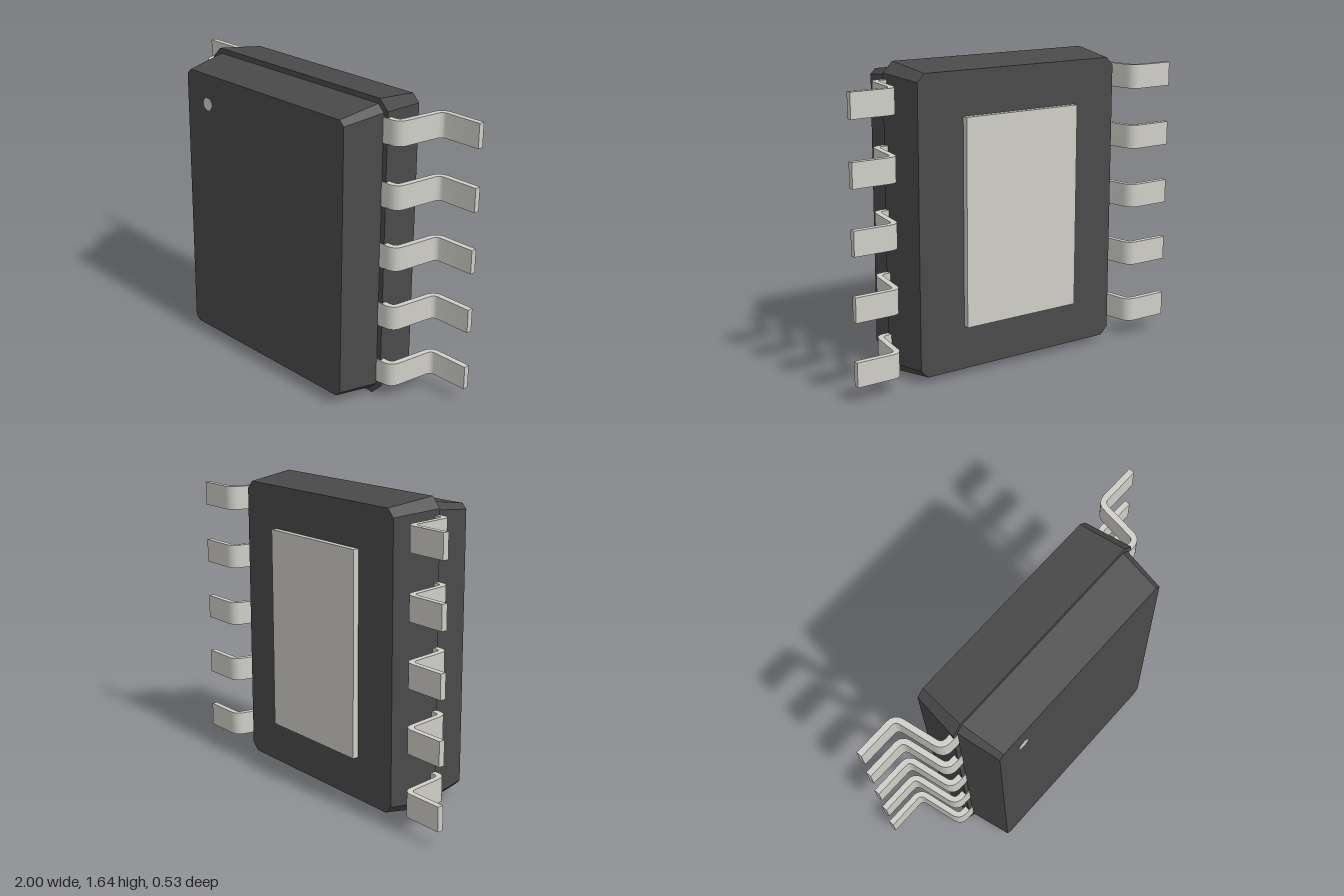
import * as THREE from 'three';
import { toCreasedNormals } from 'three/addons/utils/BufferGeometryUtils.js';

const MID_Y = 0.818;
const bodyMat = new THREE.MeshStandardMaterial({ color: 0x4a4a4a });
const metalMat = new THREE.MeshStandardMaterial({ color: 0xcfcec8 });

// Rectangle with cut corners, counter-clockwise seen from +z
function octagon({ w, h, cut, z }) {
  const a = w - cut, b = h - cut;
  return [[w, -b], [w, b], [a, h], [-a, h], [-w, b], [-w, -b], [-a, -h], [a, -h]]
    .map(([x, y]) => new THREE.Vector3(x, y, z));
}

// Tapered block between two octagonal sections, with flat faces
function taperedBlock(back, front) {
  const b = octagon(back), f = octagon(front), tris = [];
  for (let i = 0; i < 8; i++) {
    const j = (i + 1) % 8;
    tris.push(b[i], b[j], f[j], b[i], f[j], f[i]);
    if (i > 0 && i < 7) tris.push(f[0], f[i], f[j], b[0], b[j], b[i]);
  }
  const geo = new THREE.BufferGeometry().setFromPoints(tris);
  geo.computeVertexNormals();
  return geo;
}

// Gull-wing strip: centreline in (x, z) with rounded bends, thickened and extruded along y
function leadGeometry(side, width, thickness) {
  const corners = [[0.58, 0.017], [0.716, 0.017], [0.757, -0.251], [1, -0.251]]
    .map(([x, z]) => new THREE.Vector2(x, -z));
  const line = [corners[0]];
  for (let i = 1; i < 3; i++) {
    const c = corners[i];
    const toward = (p) => c.clone().add(p.clone().sub(c).setLength(0.042));
    line.push(...new THREE.QuadraticBezierCurve(toward(corners[i - 1]), c, toward(corners[i + 1])).getPoints(8));
  }
  line.push(corners[3]);
  const edge = (offset) => line.map((p, i) => {
    const dir = line[Math.min(i + 1, line.length - 1)].clone().sub(line[Math.max(i - 1, 0)]).normalize();
    // the straight ends keep a square cut
    if (i < 2 || i > line.length - 3) dir.set(1, 0);
    return new THREE.Vector2(side * (p.x - dir.y * offset), p.y + dir.x * offset);
  });
  const shape = new THREE.Shape([...edge(thickness / 2), ...edge(-thickness / 2).reverse()]);
  const geo = new THREE.ExtrudeGeometry(shape, { depth: width, bevelEnabled: false });
  geo.translate(0, 0, -width / 2).rotateX(-Math.PI / 2);
  return toCreasedNormals(geo, 0.6);
}

export function createModel() {
  const model = new THREE.Group();
  model.name = 'chipPackage';
  const add = (name, geo, mat, x, y, z, parent = model) => {
    const mesh = new THREE.Mesh(geo, mat);
    mesh.name = name;
    mesh.position.set(x, y, z);
    parent.add(mesh);
    return mesh;
  };

  // Moulded body: two tapered halves, the front one slightly smaller
  add('bodyBack', taperedBlock(
    { w: 0.615, h: 0.782, cut: 0.042, z: -0.235 },
    { w: 0.653, h: 0.818, cut: 0.055, z: 0.03 }), bodyMat, 0, MID_Y, 0);
  add('bodyFront', taperedBlock(
    { w: 0.626, h: 0.79, cut: 0.038, z: 0.03 },
    { w: 0.59, h: 0.755, cut: 0.028, z: 0.265 }), bodyMat, 0, MID_Y, 0);

  // Round pin-one marker, almost flush with the front face
  const dot = new THREE.CylinderGeometry(0.034, 0.034, 0.01, 32).rotateX(Math.PI / 2);
  add('pinOneMarker', dot, metalMat, -0.425, 1.41, 0.262);

  // Thermal pad on the back
  add('thermalPad', new THREE.BoxGeometry(0.7, 1.1, 0.042), metalMat, 0, MID_Y, -0.246);

  // Five bent leads on each side
  for (const side of [1, -1]) {
    const row = new THREE.Group();
    row.name = side > 0 ? 'leadsLeft' : 'leadsRight';
    model.add(row);
    const geo = leadGeometry(side, 0.13, 0.032);
    for (let i = -2; i <= 2; i++) add('lead', geo, metalMat, 0, MID_Y + i * 0.333, 0, row);
  }
  return model;
}
